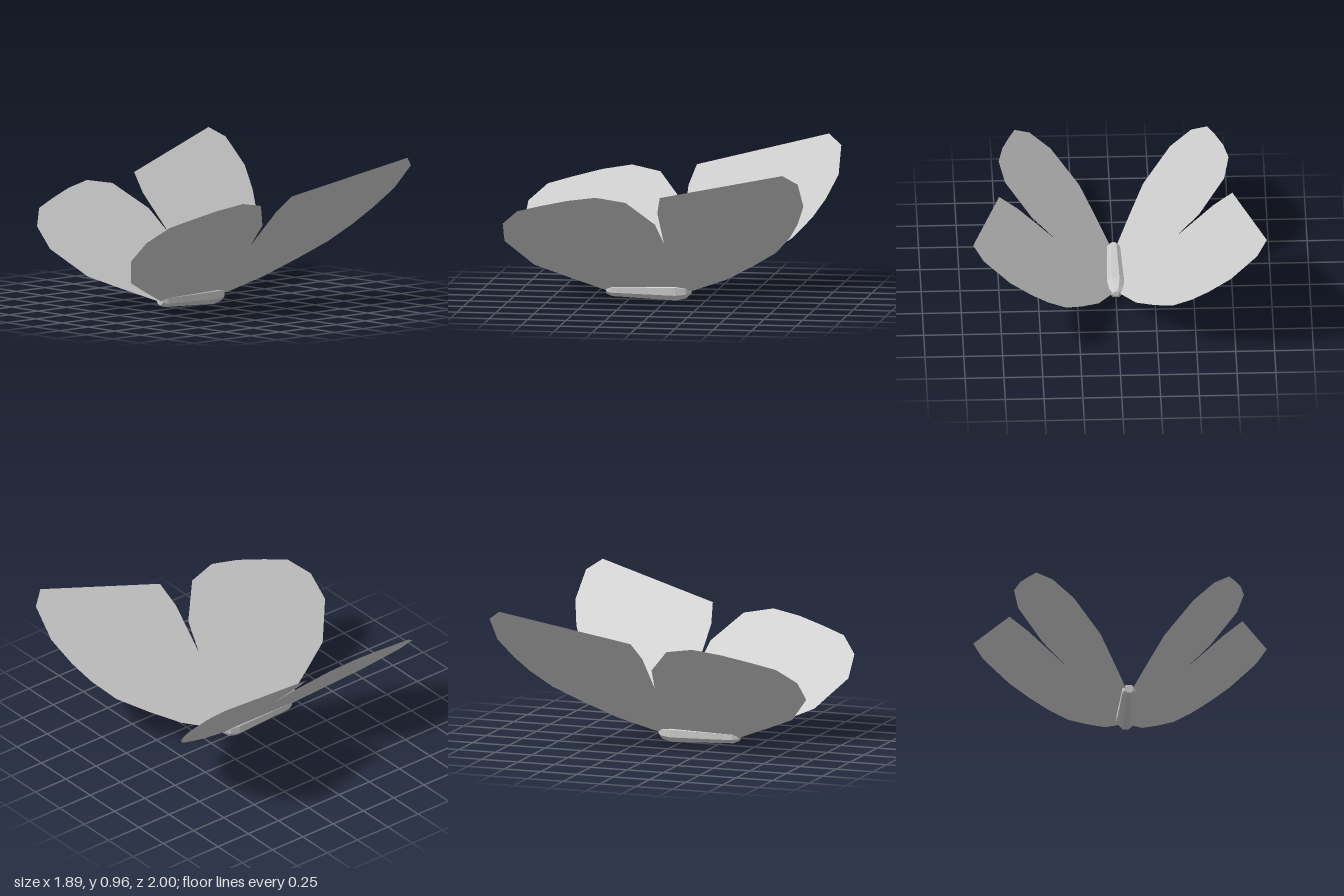
import * as THREE from 'three';

const bodyMaterial = new THREE.MeshStandardMaterial({ color: 0xcccccc, flatShading: true });
const wingMaterial = new THREE.MeshStandardMaterial({ color: 0xcccccc, flatShading: true, side: THREE.DoubleSide });

// Wing outlines seen from above, as [x, z]; the two wings share the edge from notch to body
const longWing = [
  [0.02, -0.04], [0.03, -0.17], [0.12, -0.4], [0.23, -0.59], [0.34, -0.76], [0.46, -0.87], [0.57, -0.94],
  [0.71, -1], [0.88, -0.99], [0.945, -0.9], [0.75, -0.07], [0.63, -0.035], [0.39, -0.04],
];
const roundWing = [
  [0.02, -0.04], [0.39, -0.04], [0.54, -0.005], [0.705, 0.16], [0.74, 0.35], [0.71, 0.54], [0.665, 0.72],
  [0.62, 0.88], [0.52, 0.99], [0.385, 1], [0.205, 0.835], [0.12, 0.64], [0.02, 0.4],
];

// Thin flat wing, tilted up and outwards from the body
function wing(name, outline) {
  const shape = new THREE.Shape(outline.map(([x, z]) => new THREE.Vector2(x, z)));
  const geometry = new THREE.ShapeGeometry(shape);
  const p = geometry.attributes.position;
  for (let i = 0; i < p.count; i++) {
    const x = p.getX(i), z = p.getY(i);
    p.setXYZ(i, x, 0.04 + 0.98 * x, z);
  }
  geometry.computeVertexNormals();
  const mesh = new THREE.Mesh(geometry, wingMaterial);
  mesh.name = name;
  return mesh;
}

export function createModel() {
  const model = new THREE.Group();
  model.name = 'butterfly';

  // Eight-sided tapering body lying along z
  const profile = [[0, -0.155], [0.02, -0.155], [0.05, -0.125], [0.066, -0.06], [0.046, 0.36], [0.03, 0.395], [0, 0.395]];
  const bodyGeometry = new THREE.LatheGeometry(
    profile.map(([r, z]) => new THREE.Vector2(r, z)), 8, Math.PI / 8);
  bodyGeometry.rotateX(Math.PI / 2);
  const body = new THREE.Mesh(bodyGeometry, bodyMaterial);
  body.name = 'body';
  body.position.y = 0.063;
  model.add(body);

  // Mirrored pairs of wings
  for (const [side, sign] of [['left', 1], ['right', -1]]) {
    const wings = new THREE.Group();
    wings.name = side + 'Wings';
    wings.add(wing(side + 'LongWing', longWing), wing(side + 'RoundWing', roundWing));
    wings.scale.x = sign;
    model.add(wings);
  }
  return model;
}
